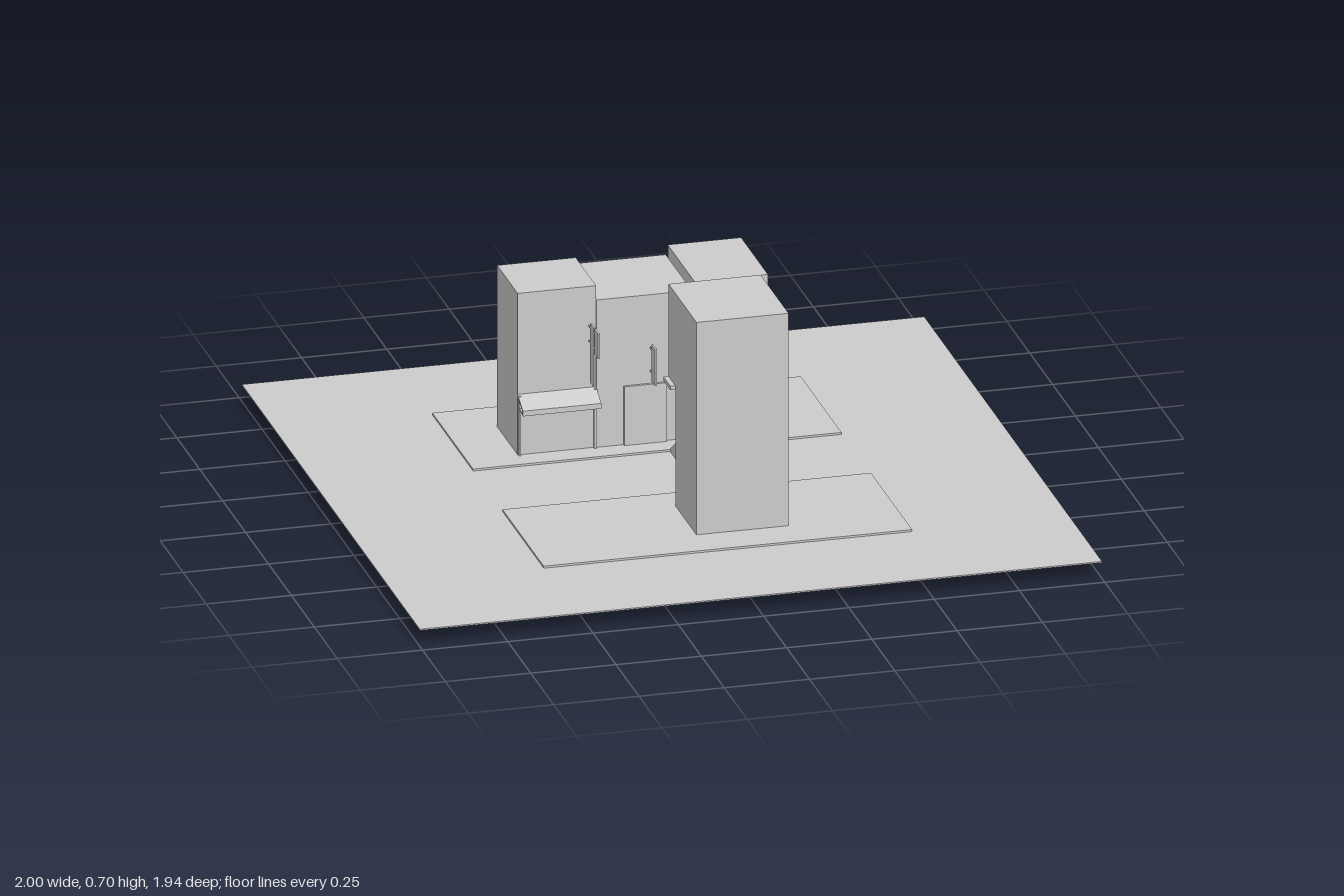
import * as THREE from 'three';

const material = new THREE.MeshStandardMaterial({ color: 0xcccccc, flatShading: true, side: THREE.DoubleSide });

export function createModel() {
  const model = new THREE.Group();

  const add = (name, geometry) => {
    const mesh = new THREE.Mesh(geometry, material);
    mesh.name = name;
    model.add(mesh);
    return mesh;
  };

  // Box given by its extents on each axis
  const block = (name, [x0, x1], [y0, y1], [z0, z1]) =>
    add(name, new THREE.BoxGeometry(x1 - x0, y1 - y0, z1 - z0))
      .position.set((x0 + x1) / 2, (y0 + y1) / 2, (z0 + z1) / 2);

  // Side profile of [z, y] points swept along x
  const sweep = (name, points, x0, x1) => {
    const shape = new THREE.Shape(points.map(([z, y]) => new THREE.Vector2(-z, y)));
    const geometry = new THREE.ExtrudeGeometry(shape, { depth: x1 - x0, bevelEnabled: false });
    geometry.rotateY(Math.PI / 2);
    geometry.translate(x0, 0, 0);
    add(name, geometry);
  };

  // Ground and the two raised pavements
  block('ground', [-1, 1], [0.048, 0.052], [-0.97, 0.97]);
  block('frontPavement', [-0.54, 0.54], [0.05, 0.058], [0.16, 0.61]);
  block('backPavement', [-0.54, 0.54], [0.05, 0.058], [-0.605, -0.16]);

  // Front tower with overhanging upper floors
  sweep('tower', [[0.49, 0.035], [0.26, 0.035], [0.26, 0.415], [0.185, 0.415], [0.185, 0.705], [0.49, 0.705]], -0.06, 0.21);
  block('towerLedge', [-0.075, 0.225], [0.412, 0.424], [0.185, 0.26]);
  sweep('towerAwning', [[0.26, 0.253], [0.188, 0.205], [0.188, 0.193], [0.26, 0.193]], -0.055, 0.205);

  // Row of three buildings at the back
  block('rightEndBuilding', [-0.39, -0.16], [0.03, 0.55], [-0.455, -0.232]);
  block('middleBuilding', [-0.16, 0.12], [0.045, 0.507], [-0.515, -0.23]);
  block('leftEndBuilding', [0.13, 0.345], [0, 0.53], [-0.53, -0.237]);

  // Shop awnings: sloping sheet with a short hanging edge, posts and arms
  for (const [side, x0, x1] of [['right', -0.39, -0.16], ['left', 0.13, 0.345]]) {
    sweep(side + 'Awning', [[-0.237, 0.245], [-0.175, 0.213], [-0.175, 0.197],
      [-0.18, 0.197], [-0.18, 0.209], [-0.237, 0.237]], x0, x1);
    for (const x of [x0 + 0.005, x1 - 0.005]) {
      block(side + 'AwningPost', [x - 0.003, x + 0.003], [0.035, 0.24], [-0.235, -0.223]);
      block(side + 'AwningArm', [x - 0.003, x + 0.003], [0.196, 0.202], [-0.235, -0.178]);
    }
  }

  // Door and shop window
  block('door', [-0.08, 0.045], [0.05, 0.237], [-0.235, -0.222]);
  block('shopWindow', [0.265, 0.315], [0.115, 0.18], [-0.24, -0.23]);

  // Hanging signs with their brackets
  const sign = (x, y, z) => block('hangingSign', [x - 0.003, x + 0.003], y, z);
  sign(-0.18, [0.37, 0.445], [-0.165, -0.125]);
  sign(-0.18, [0.265, 0.445], [-0.212, -0.172]);
  sign(0, [0.25, 0.36], [-0.215, -0.175]);
  for (const y of [0.385, 0.43])
    block('signBracket', [-0.182, -0.178], [y - 0.002, y + 0.002], [-0.235, -0.13]);
  for (const y of [0.275, 0.345])
    block('signBracket', [-0.002, 0.002], [y - 0.002, y + 0.002], [-0.235, -0.18]);

  return model;
}
